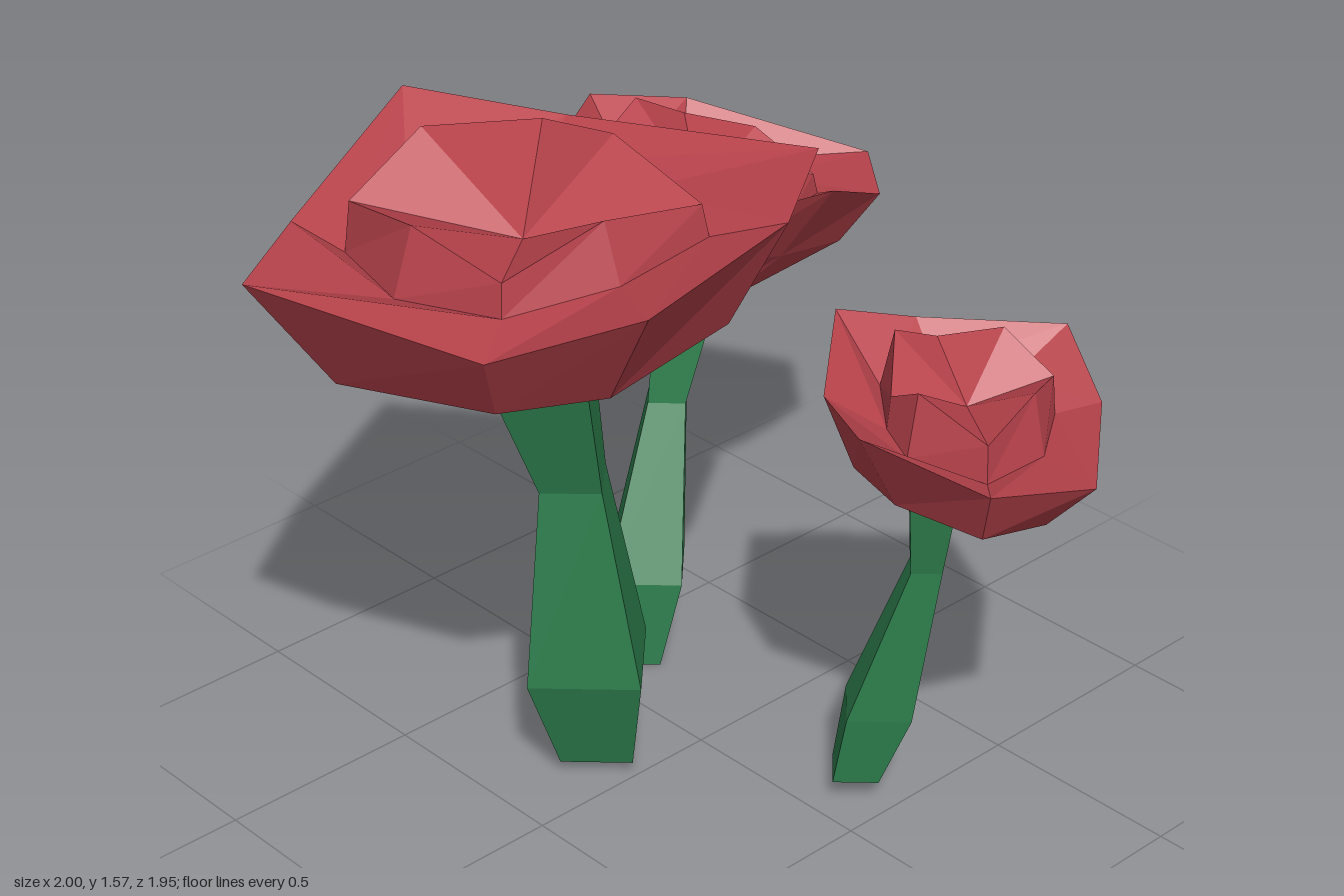
import * as THREE from 'three';

const red = new THREE.MeshStandardMaterial({ color: 0xb9434c, flatShading: true });
red.name = 'petalRed';
const green = new THREE.MeshStandardMaterial({ color: 0x2d7d4c, flatShading: true });
green.name = 'stemGreen';

// Skin a stack of rings (clockwise seen from above); a one-point ring closes an end.
function loft(rings, material, name) {
  const pos = [];
  const tri = (...pts) => pts.forEach((p) => pos.push(...p));
  for (let r = 0; r < rings.length - 1; r++) {
    const a = rings[r], b = rings[r + 1];
    const n = Math.max(a.length, b.length);
    for (let i = 0; i < n; i++) {
      const j = (i + 1) % n;
      if (a.length === 1) tri(a[0], b[i], b[j]);
      else if (b.length === 1) tri(a[j], a[i], b[0]);
      else {
        tri(a[j], a[i], b[i]);
        tri(a[j], b[i], b[j]);
      }
    }
  }
  const geo = new THREE.BufferGeometry();
  geo.setAttribute('position', new THREE.Float32BufferAttribute(pos, 3));
  geo.computeVertexNormals();
  const mesh = new THREE.Mesh(geo, material);
  mesh.name = name;
  return mesh;
}

// Four-sided stem through sections [x, y, z, radius]
function makeStem(sections) {
  const rings = sections.map(([x, y, z, r]) =>
    [[x - r, y, z], [x, y, z - r], [x + r, y, z], [x, y, z + r]]);
  const ends = [sections[0], sections[sections.length - 1]].map((s) => [s.slice(0, 3)]);
  return loft([ends[0], ...rings, ends[1]], green, 'stem');
}

// Bloom: faceted outer cup plus a crown of four inner petals sunk to a low centre
function makeFlower(name, f) {
  const [cx, cy, cz] = f.centre;
  const [ax, az] = f.tilt;
  // Copy of a ring scaled about the centre, lying on a tilted plane
  const scaled = (ring, tipScale, gapScale, y) => ring.map(([x, , z], i) => {
    const s = i % 2 ? gapScale : tipScale;
    const dx = (x - cx) * s, dz = (z - cz) * s;
    return [cx + dx, y + ax * dx + az * dz, cz + dz];
  });
  const [bx, by, bz, bs] = f.base;
  const baseRing = f.rim.map(([x, , z]) => [bx + (x - cx) * bs, by, bz + (z - cz) * bs]);
  const belly = scaled(f.rim, f.bellyScale, 0.78, f.bellyY);
  const foot = scaled(f.crown, 1.18, 1.04, f.footY);

  const group = new THREE.Group();
  group.name = name;
  group.add(
    makeStem(f.stem),
    loft([[[bx, by, bz]], baseRing, belly, f.rim, foot], red, 'outerPetals'),
    loft([foot, f.crown, [[cx, cy, cz]]], red, 'innerPetals'),
  );
  return group;
}

// Rings run left, back, right, front with the in-between points
const large = {
  centre: [-0.365, 1.39, -0.17], tilt: [0.07, 0.05],
  base: [-0.35, 1.08, -0.15, 0.25], bellyY: 1.2, bellyScale: 0.7, footY: 1.38,
  rim: [[-1, 1.45, -0.31], [-0.71, 1.42, -0.53], [-0.22, 1.52, -0.75], [0.06, 1.44, -0.51],
    [0.27, 1.49, 0.09], [-0.04, 1.49, 0.31], [-0.54, 1.48, 0.42], [-0.77, 1.37, 0.18]],
  crown: [[-0.65, 1.51, -0.19], [-0.62, 1.47, -0.44], [-0.4, 1.57, -0.46], [-0.08, 1.5, -0.43],
    [-0.1, 1.555, -0.17], [-0.11, 1.49, 0.12], [-0.37, 1.53, 0.1], [-0.61, 1.45, 0.05]],
  stem: [[-0.21, 0.03, -0.13, 0.12], [-0.24, 0.28, -0.13, 0.185],
    [-0.265, 0.77, -0.14, 0.1], [-0.345, 1.1, -0.15, 0.155]],
};

const medium = {
  centre: [0.487, 1.1, -0.52], tilt: [-0.22, 0.13],
  base: [0.45, 0.87, -0.5, 0.25], bellyY: 0.99, bellyScale: 0.62, footY: 1.11,
  rim: [[0.075, 1.31, -0.545], [0.2, 1.23, -0.73], [0.545, 1.195, -0.98], [0.743, 1.17, -0.84],
    [1, 1.07, -0.455], [0.83, 1.08, -0.25], [0.51, 1.245, -0.096], [0.28, 1.2, -0.225]],
  crown: [[0.31, 1.28, -0.56], [0.29, 1.22, -0.685], [0.49, 1.275, -0.75], [0.66, 1.18, -0.76],
    [0.7, 1.2, -0.55], [0.716, 1.13, -0.364], [0.55, 1.21, -0.31], [0.406, 1.18, -0.364]],
  stem: [[0.15, 0, -0.39, 0.085], [0.2, 0.22, -0.41, 0.13],
    [0.34, 0.62, -0.48, 0.065], [0.42, 0.9, -0.49, 0.105]],
};

const small = {
  centre: [0.257, 1.04, 0.567], tilt: [0, -0.15],
  base: [0.23, 0.83, 0.55, 0.25], bellyY: 0.905, bellyScale: 0.65, footY: 1.01,
  rim: [[-0.118, 1.12, 0.604], [-0.027, 1.11, 0.41], [0.2, 1.168, 0.22], [0.37, 1.12, 0.305],
    [0.593, 1.118, 0.556], [0.5, 1.03, 0.743], [0.22, 1.02, 0.97], [0.03, 1.02, 0.845]],
  crown: [[0.075, 1.15, 0.59], [0.09, 1.1, 0.497], [0.2, 1.185, 0.4], [0.337, 1.12, 0.4],
    [0.41, 1.166, 0.53], [0.428, 1.09, 0.663], [0.29, 1.126, 0.73], [0.123, 1.07, 0.75]],
  stem: [[0.13, 0.05, 0.385, 0.075], [0.17, 0.23, 0.415, 0.105],
    [0.22, 0.62, 0.5, 0.05], [0.215, 0.87, 0.52, 0.08]],
};

export function createModel() {
  const model = new THREE.Group();
  model.name = 'flowers';
  model.add(makeFlower('largeFlower', large));
  model.add(makeFlower('mediumFlower', medium));
  model.add(makeFlower('smallFlower', small));
  return model;
}
